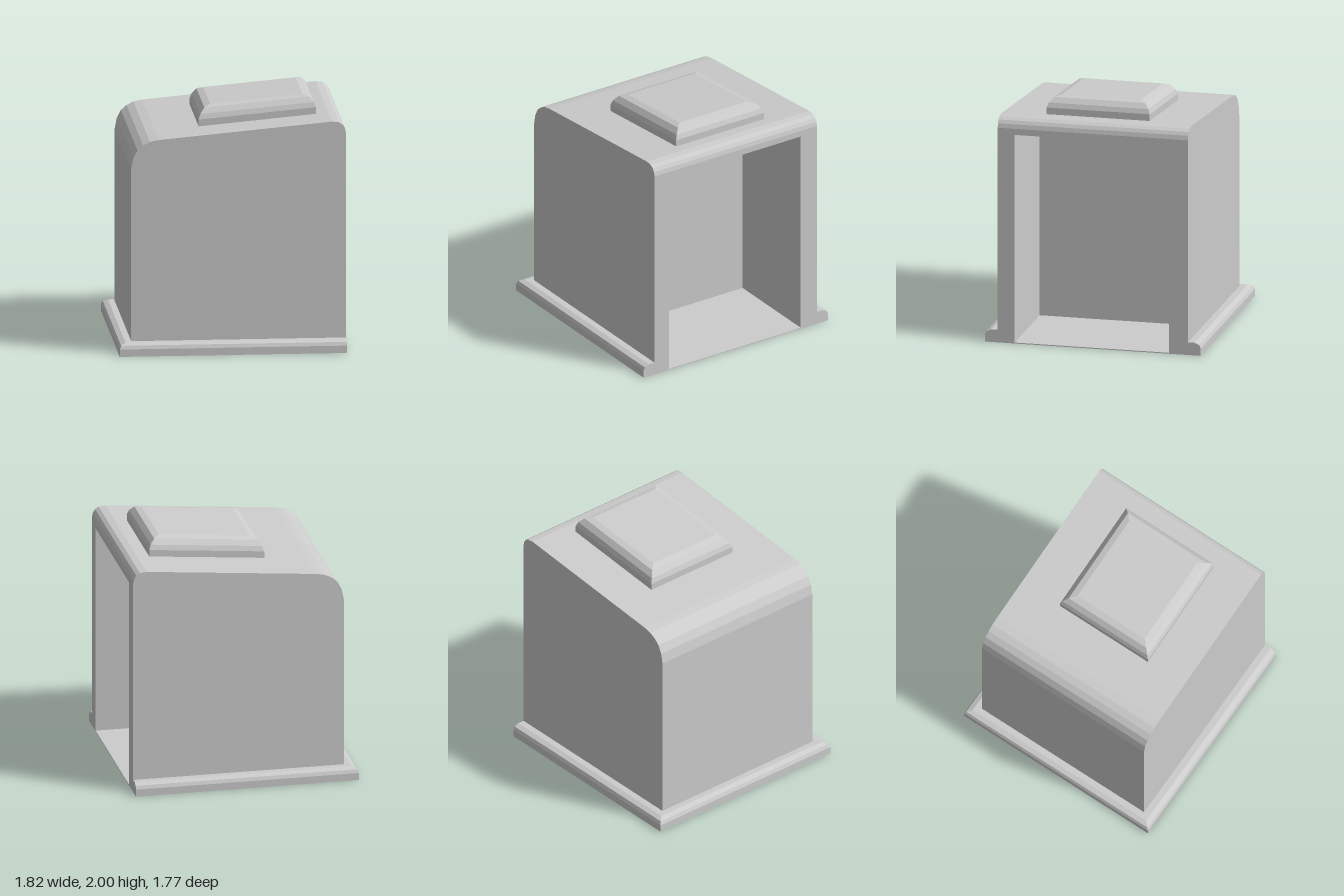
import * as THREE from 'three';

const roofY = (x) => 1.7955 + 0.0906 * x;

// Flat-shaded geometry from a list of triangle corners
function facets(points) {
  const g = new THREE.BufferGeometry();
  g.setAttribute('position', new THREE.Float32BufferAttribute(points.flat(), 3));
  g.computeVertexNormals();
  return g;
}

// Carries a section of [inset, height] steps along a run of corners
function sweep(section, corners, closed, place, out = []) {
  const runs = closed ? corners.length : corners.length - 1;
  for (let i = 0; i < runs; i++) {
    const a = corners[i], b = corners[(i + 1) % corners.length];
    for (let k = 0; k + 1 < section.length; k++) {
      const [a0, a1, b0, b1] = [place(a, section[k]), place(a, section[k + 1]),
        place(b, section[k]), place(b, section[k + 1])];
      out.push(b0, a0, a1, b0, a1, b1);
    }
  }
  return out;
}

// Slab of a side outline between two depths
function slab(outline, z0, z1) {
  const shape = new THREE.Shape(outline.map(([x, y]) => new THREE.Vector2(x, y)));
  const g = new THREE.ExtrudeGeometry(shape, { depth: z1 - z0, bevelEnabled: false });
  return g.translate(0, 0, z0);
}

export function createModel() {
  const group = new THREE.Group();
  const grey = new THREE.MeshStandardMaterial({ color: 0xcccccc });
  grey.name = 'light grey';
  const add = (name, geometry) => {
    const mesh = new THREE.Mesh(geometry, grey);
    mesh.name = name;
    group.add(mesh);
  };

  // Sloping roof line with rounded ends, running from +x to -x
  const roof = [
    [0.91, 1.78], [0.902, 1.815], [0.885, 1.842], [0.855, 1.862], [0.8, 1.868],
    [-0.59, 1.742], [-0.66, 1.728], [-0.715, 1.7], [-0.76, 1.66], [-0.793, 1.595], [-0.81, 1.51],
  ];

  // Housing: two side walls, and a middle section hollowed from the +x side
  const z0 = -0.626, z1 = 0.642;
  const full = [[-0.81, 0], [0.91, 0], ...roof];
  const hollow = [[-0.81, 0], [0.91, 0], [0.91, 0.008], [0.08, 0.008],
    [0.08, 1.73], [0.91, 1.73], ...roof];
  add('leftWall', slab(full, z1, 0.782));
  add('rightWall', slab(full, -0.782, z0));
  add('hollowMiddle', slab(hollow, z0, z1));

  // Base moulding around three sides, cut off flush at the opening
  const moulding = [[0, 0], [0, 0.06], [0.012, 0.088], [0.05, 0.105], [0.104, 0.105], [0.104, 0], [0, 0]];
  const basePlace = ([sx, sz], [d, h]) => [sx > 0 ? 0.91 : -0.91 + d, h, sz * (0.887 - d)];
  const base = sweep(moulding, [[1, 1], [-1, 1], [-1, -1], [1, -1]], false, basePlace);
  for (const sz of [1, -1]) {
    for (let k = 1; k < 5; k++) {
      const p = [moulding[0], moulding[k], moulding[k + 1]].map((s) => basePlace([1, sz], s));
      base.push(...(sz > 0 ? p.reverse() : p));
    }
  }
  add('baseMoulding', facets(base));

  // Bevelled pad following the roof slope
  const padSteps = [[0, -0.01], [0, 0.055], [0.015, 0.095], [0.05, 0.137], [0.1, 0.152]];
  const padCorners = [[1, 1], [-1, 1], [-1, -1], [1, -1]];
  const padPlace = ([sx, sz], [d, h]) => {
    const x = 0.23 + sx * (0.47 - d);
    return [x, roofY(x) + h, 0.008 + sz * (0.424 - d)];
  };
  const pad = sweep(padSteps, padCorners, true, padPlace);
  const [a, b, c, e] = padCorners.map((q) => padPlace(q, padSteps[4]));
  pad.push(a, c, b, a, e, c);
  add('roofPad', facets(pad));

  return group;
}
